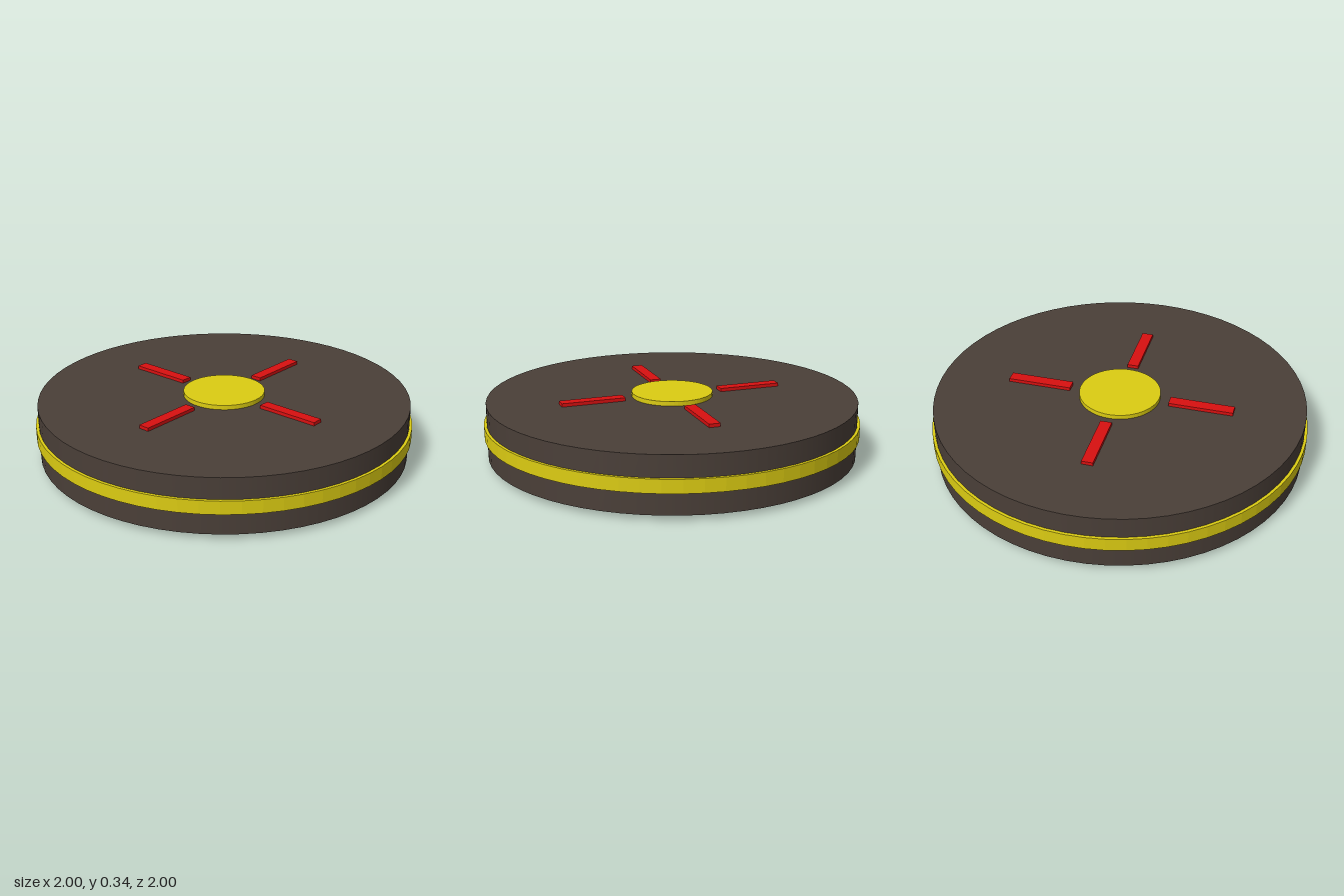
import * as THREE from 'three';

const SEGMENTS = 64;

export function createModel() {
  const model = new THREE.Group();
  model.name = 'disc';

  const material = (name, color) => {
    const m = new THREE.MeshStandardMaterial({ color });
    m.name = name;
    return m;
  };
  const dark = material('dark brown', 0x4a3f38);
  const yellow = material('yellow', 0xdccc12);
  const red = material('red', 0xd81010);

  // Upright cylinder between two heights, optionally with faceted sides
  const disc = (name, radius, bottom, top, mat, faceted) => {
    let geometry = new THREE.CylinderGeometry(radius, radius, top - bottom, SEGMENTS);
    if (faceted) {
      geometry = geometry.toNonIndexed();
      geometry.computeVertexNormals();
    }
    const mesh = new THREE.Mesh(geometry, mat);
    mesh.name = name;
    mesh.position.y = (top + bottom) / 2;
    model.add(mesh);
  };

  // Body, rim band and the hub that shows on both faces
  disc('body', 0.985, 0.026, 0.318, dark, false);
  disc('rimBand', 1, 0.137, 0.207, yellow, true);
  disc('hub', 0.216, 0, 0.342, yellow, true);

  // Four raised bars around the hub
  const barGeometry = new THREE.BoxGeometry(0.342, 0.03, 0.06);
  for (let i = 0; i < 4; i++) {
    const angle = (i * Math.PI) / 2;
    const bar = new THREE.Mesh(barGeometry, red);
    bar.name = `bar${i + 1}`;
    bar.position.set(Math.cos(angle) * 0.441, 0.321, -Math.sin(angle) * 0.441);
    bar.rotation.y = angle;
    model.add(bar);
  }

  return model;
}
